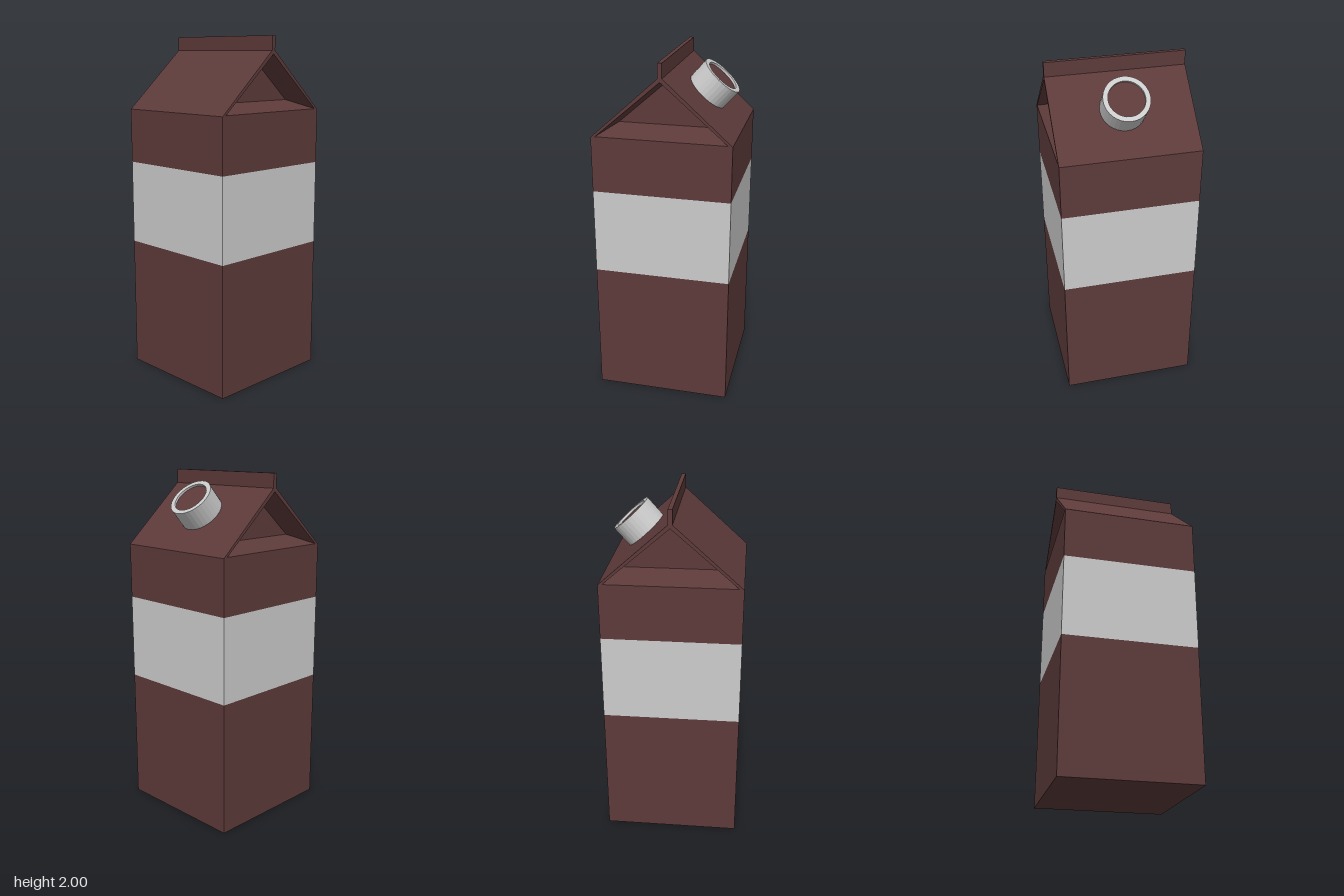
import * as THREE from 'three';

const W = 0.39, SHOULDER = 1.58, RIDGE = 1.93;

const brown = new THREE.MeshStandardMaterial({ color: 0x5d3a3a, flatShading: true });
const grey = new THREE.MeshStandardMaterial({ color: 0xcccccc, flatShading: true });
const greyOpen = new THREE.MeshStandardMaterial({ color: 0xcccccc, flatShading: true, side: THREE.DoubleSide });

function add(parent, name, geometry, material) {
  const mesh = new THREE.Mesh(geometry, material);
  mesh.name = name;
  parent.add(mesh);
  return mesh;
}

// Flat polygons (lists of [x, y, z] corners, counter-clockwise) split into fans
function polygons(faces) {
  const pos = [];
  for (const f of faces)
    for (let i = 1; i < f.length - 1; i++) pos.push(...f[0], ...f[i], ...f[i + 1]);
  const g = new THREE.BufferGeometry();
  g.setAttribute('position', new THREE.Float32BufferAttribute(pos, 3));
  g.computeVertexNormals();
  return g;
}

// Four upright walls between two heights
function walls(y0, y1) {
  const r = W * Math.SQRT2;
  const g = new THREE.CylinderGeometry(r, r, y1 - y0, 4, 1, true);
  return g.rotateY(Math.PI / 4).translate(0, (y0 + y1) / 2, 0);
}

// Gable end: thin rim around a triangle that is folded inwards
function gable(side) {
  const tri = (x, z, y, top) => [[side * x, y, z], [side * x, y, -z], [side * x, top, 0]];
  const loops = [
    tri(W, W, SHOULDER, RIDGE),
    tri(W, 0.365, SHOULDER + 0.004, 1.9),
    tri(0.245, 0.27, 1.635, 1.87),
  ];
  const faces = [loops[2]];
  for (let k = 0; k < 2; k++)
    for (let i = 0; i < 3; i++) {
      const j = (i + 1) % 3;
      faces.push([loops[k][i], loops[k][j], loops[k + 1][j], loops[k + 1][i]]);
    }
  return polygons(side > 0 ? faces : faces.map((f) => [...f].reverse()));
}

export function createModel() {
  const model = new THREE.Group();
  model.name = 'carton';

  // Body with a pale band
  add(model, 'lowerBody', walls(0, 0.775), brown);
  add(model, 'labelBand', walls(0.775, 1.265), grey);
  add(model, 'upperBody', walls(1.265, SHOULDER), brown);
  add(model, 'base', new THREE.PlaneGeometry(2 * W, 2 * W).rotateX(Math.PI / 2), brown);

  // Sloping roof panels and folded gable ends
  for (const s of [1, -1]) {
    const panel = [[-s * W, SHOULDER, s * W], [s * W, SHOULDER, s * W], [s * W, RIDGE, 0], [-s * W, RIDGE, 0]];
    add(model, s > 0 ? 'frontRoof' : 'backRoof', polygons([panel]), brown);
    add(model, s > 0 ? 'leftGable' : 'rightGable', gable(s), brown);
  }

  // Sealed fin along the ridge
  add(model, 'topSeal', new THREE.BoxGeometry(2 * W, 0.085, 0.024).translate(0, 1.9575, 0), brown);

  // Spout on the back slope
  const spout = new THREE.Group();
  spout.name = 'spout';
  const z = -0.177, height = 0.127;
  spout.position.set(0, RIDGE + z * (RIDGE - SHOULDER) / W, z);
  spout.rotation.x = -Math.atan((RIDGE - SHOULDER) / W);
  const profile = [[0.127, -0.01], [0.127, height], [0.1, height], [0.1, -0.01]];
  add(spout, 'spoutRing', new THREE.LatheGeometry(profile.map((p) => new THREE.Vector2(...p)), 32), greyOpen);
  add(spout, 'spoutInset',
    new THREE.CircleGeometry(0.1, 32).rotateX(-Math.PI / 2).translate(0, height - 0.013, 0), brown);
  model.add(spout);

  return model;
}
